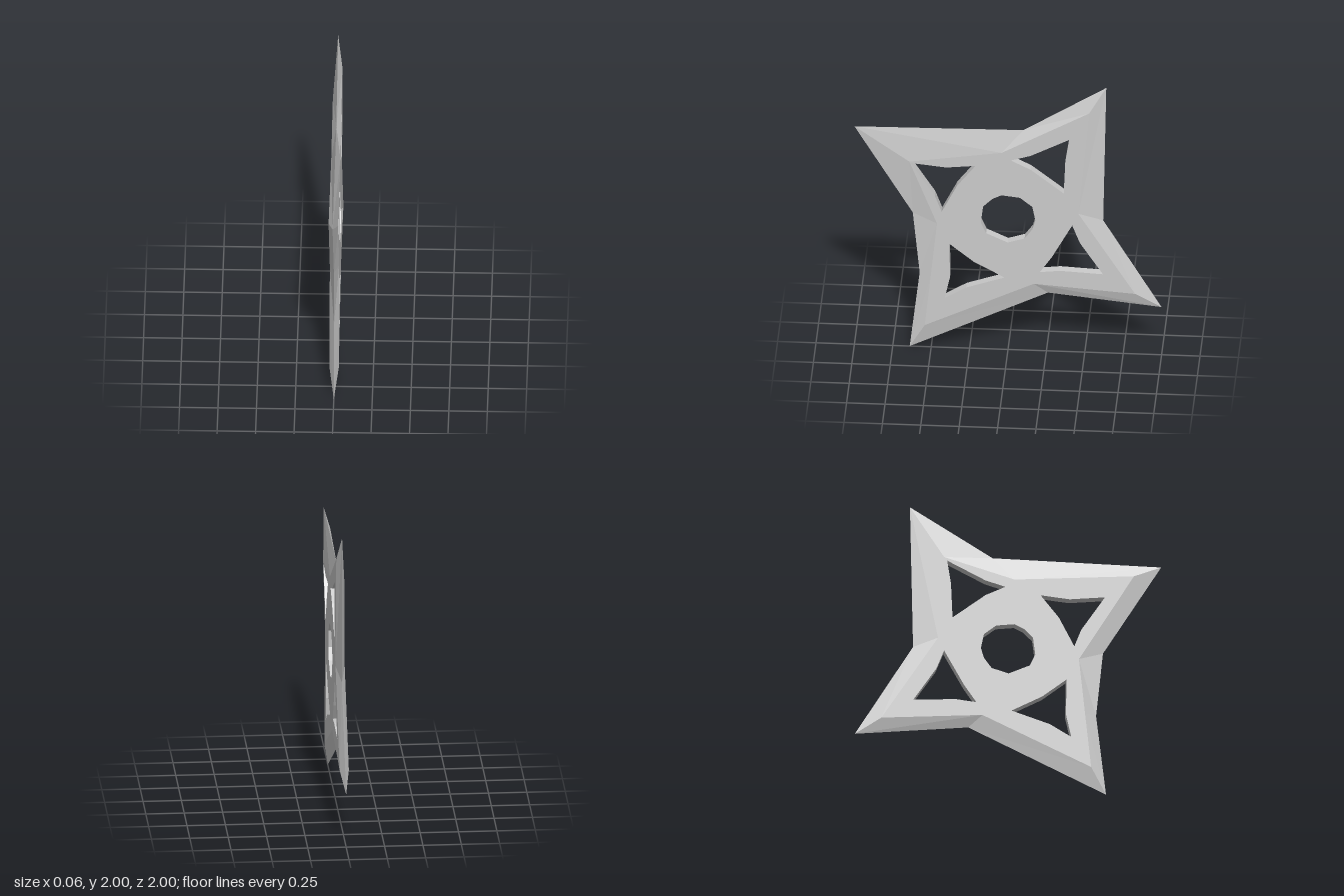
import * as THREE from 'three';

// All outlines are [z, y] pairs, counter-clockwise with z to the right.
const HALF = 0.03;

// Sharp rim in the middle plane: tip, valley, tip, valley ...
const rim = [[1, 1.645], [-0.1, 1.66], [-0.64, 2], [-0.62, 1], [-1, 0.36],
  [-0.26, 0.44], [0.64, 0], [0.575, 0.56], [0.62, 1.01]];

// Where the bevels meet the flat faces; one tip on each face is cut deeper
const plate = (sideTip, topTip) => [sideTip, [0.04, 1.5], topTip, [-0.46, 1.06],
  [-0.83, 0.47], [-0.17, 0.52], [0.54, 0.18], [0.5, 0.56], [0.46, 0.95]];
const rightPlate = plate([0.64, 1.41], [-0.53, 1.82]);
const leftPlate = plate([0.82, 1.56], [-0.42, 1.64]);

// Centre bore and the curved triangular window in each arm
const bore = [[0.04, 1.18], [-0.08, 1.165], [-0.16, 1.1], [-0.18, 1], [-0.16, 0.93],
  [-0.11, 0.86], [0, 0.825], [0.14, 0.89], [0.175, 0.97], [0.16, 1.09], [0.1, 1.15]];
const windows = [
  [[0.63, 1.4], [0.4, 1.375], [0.21, 1.395], [0.33, 1.24], [0.43, 1.04], [0.475, 1.16]],
  [[-0.02, 1.445], [-0.15, 1.485], [-0.4, 1.615], [-0.375, 1.45], [-0.365, 1.21], [-0.15, 1.38]],
  [[-0.42, 0.97], [-0.47, 0.84], [-0.62, 0.61], [-0.34, 0.625], [-0.21, 0.61], [-0.29, 0.73]],
  [[0.38, 0.8], [0.22, 0.67], [0.02, 0.56], [0.27, 0.475], [0.41, 0.39], [0.375, 0.55]],
];

const at = ([z, y], x) => [x, y, z];

function makeMesh(name, triangles, material) {
  const geometry = new THREE.BufferGeometry();
  geometry.setAttribute('position', new THREE.Float32BufferAttribute(triangles.flat(2), 3));
  geometry.computeVertexNormals();
  const mesh = new THREE.Mesh(geometry, material);
  mesh.name = name;
  return mesh;
}

// Flat face with its openings, turned outward
function faceTriangles(outline, holes, x) {
  const toVectors = (ring) => ring.map(([z, y]) => new THREE.Vector2(z, y));
  const points = [outline, ...holes].flat();
  return THREE.ShapeUtils.triangulateShape(toVectors(outline), holes.map(toVectors)).map((ids) => {
    const [a, b, c] = ids.map((i) => points[i]);
    const area = (b[0] - a[0]) * (c[1] - a[1]) - (b[1] - a[1]) * (c[0] - a[0]);
    const ordered = area * x < 0 ? [a, b, c] : [a, c, b];
    return ordered.map((p) => at(p, x));
  });
}

// Band of quads from one ring to another
function bandTriangles(ringA, xA, ringB, xB, flip) {
  const triangles = [];
  ringA.forEach((p, i) => {
    const j = (i + 1) % ringA.length;
    const a = at(p, xA), b = at(ringA[j], xA), c = at(ringB[j], xB), d = at(ringB[i], xB);
    triangles.push(flip ? [a, c, b] : [a, b, c], flip ? [a, d, c] : [a, c, d]);
  });
  return triangles;
}

export function createModel() {
  const group = new THREE.Group();
  group.name = 'throwingStar';
  const material = new THREE.MeshStandardMaterial({ color: 0xcccccc, flatShading: true });
  const holes = [bore, ...windows];

  // Flat faces and sharpened bevels of both sides
  for (const [side, outline, x] of [['right', rightPlate, HALF], ['left', leftPlate, -HALF]]) {
    group.add(makeMesh(side + 'Face', faceTriangles(outline, holes, x), material));
    group.add(makeMesh(side + 'Bevel', bandTriangles(rim, 0, outline, x, x > 0), material));
  }

  // Walls inside the openings
  holes.forEach((ring, i) => {
    const name = i === 0 ? 'boreWall' : 'windowWall' + i;
    group.add(makeMesh(name, bandTriangles(ring, -HALF, ring, HALF, false), material));
  });
  return group;
}
